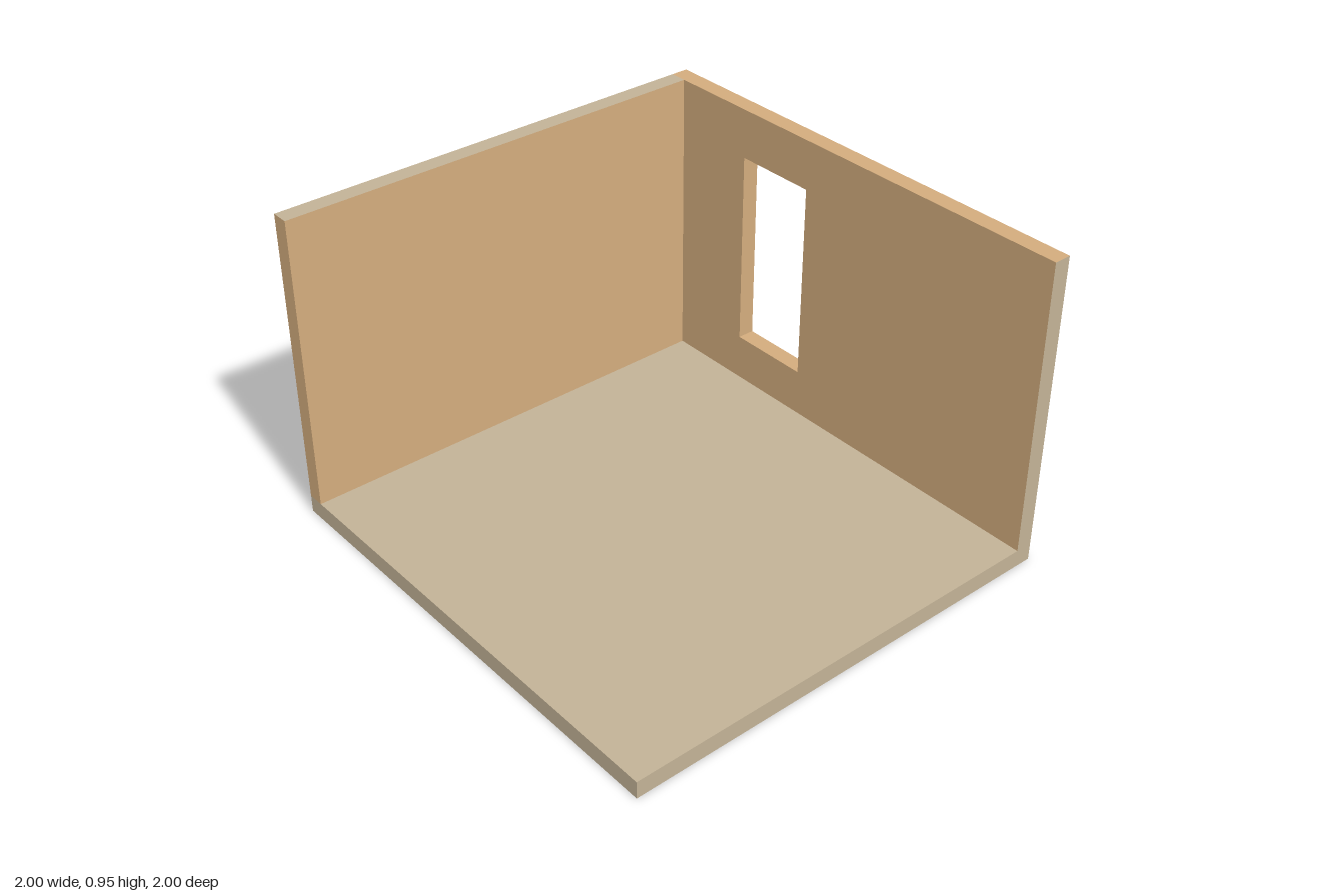
import * as THREE from 'three';

const W = 1.445; // length of the window wall
const D = 1.383; // length of the plain wall
const H = 0.95; // total height
const FLOOR = 0.053; // floor thickness
const T = 0.052; // wall thickness

const tan = new THREE.MeshStandardMaterial({ color: 0xd3ac7d });
const pale = new THREE.MeshStandardMaterial({ color: 0xc2b296 });

const rect = (x0, y0, x1, y1) => [
  new THREE.Vector2(x0, y0), new THREE.Vector2(x1, y0),
  new THREE.Vector2(x1, y1), new THREE.Vector2(x0, y1),
];

// Box from corner to corner; materials run +x, -x, +y, -y, +z, -z
function slab(name, [x0, y0, z0], [x1, y1, z1], materials) {
  const geo = new THREE.BoxGeometry(x1 - x0, y1 - y0, z1 - z0);
  geo.translate((x0 + x1) / 2, (y0 + y1) / 2, (z0 + z1) / 2);
  const mesh = new THREE.Mesh(geo, materials);
  mesh.name = name;
  return mesh;
}

// Wall with a cut-out window; its top and free end are pale
function windowWall() {
  const shape = new THREE.Shape(rect(-W / 2, FLOOR, W / 2, H));
  const left = -W / 2 + 0.318;
  shape.holes.push(new THREE.Path(rect(left, 0.195, left + 0.256, 0.8).reverse()));
  const geo = new THREE.ExtrudeGeometry(shape, { depth: T, bevelEnabled: false });
  geo.translate(0, 0, -D / 2);

  // the first two side quads are the top and the free end
  const sides = geo.groups[1].start;
  const total = geo.attributes.position.count;
  geo.clearGroups();
  geo.addGroup(0, sides, 0);
  geo.addGroup(sides, 12, 1);
  geo.addGroup(sides + 12, total - sides - 12, 0);

  const mesh = new THREE.Mesh(geo, [tan, pale]);
  mesh.name = 'windowWall';
  return mesh;
}

export function createModel() {
  const room = new THREE.Group();
  room.name = 'cornerRoom';

  // Floor: pale top and open edges
  room.add(slab('floor', [-W / 2, 0, -D / 2], [W / 2, FLOOR, D / 2],
    [pale, tan, pale, tan, pale, tan]));

  // Plain wall: pale top only
  room.add(slab('plainWall', [-W / 2, FLOOR, -D / 2 + T], [-W / 2 + T, H, D / 2],
    [tan, tan, pale, tan, tan, tan]));

  room.add(windowWall());

  // Turn the walled corner to the back
  room.rotation.y = -Math.PI / 4;

  const model = new THREE.Group();
  model.name = 'model';
  model.add(room);
  return model;
}
